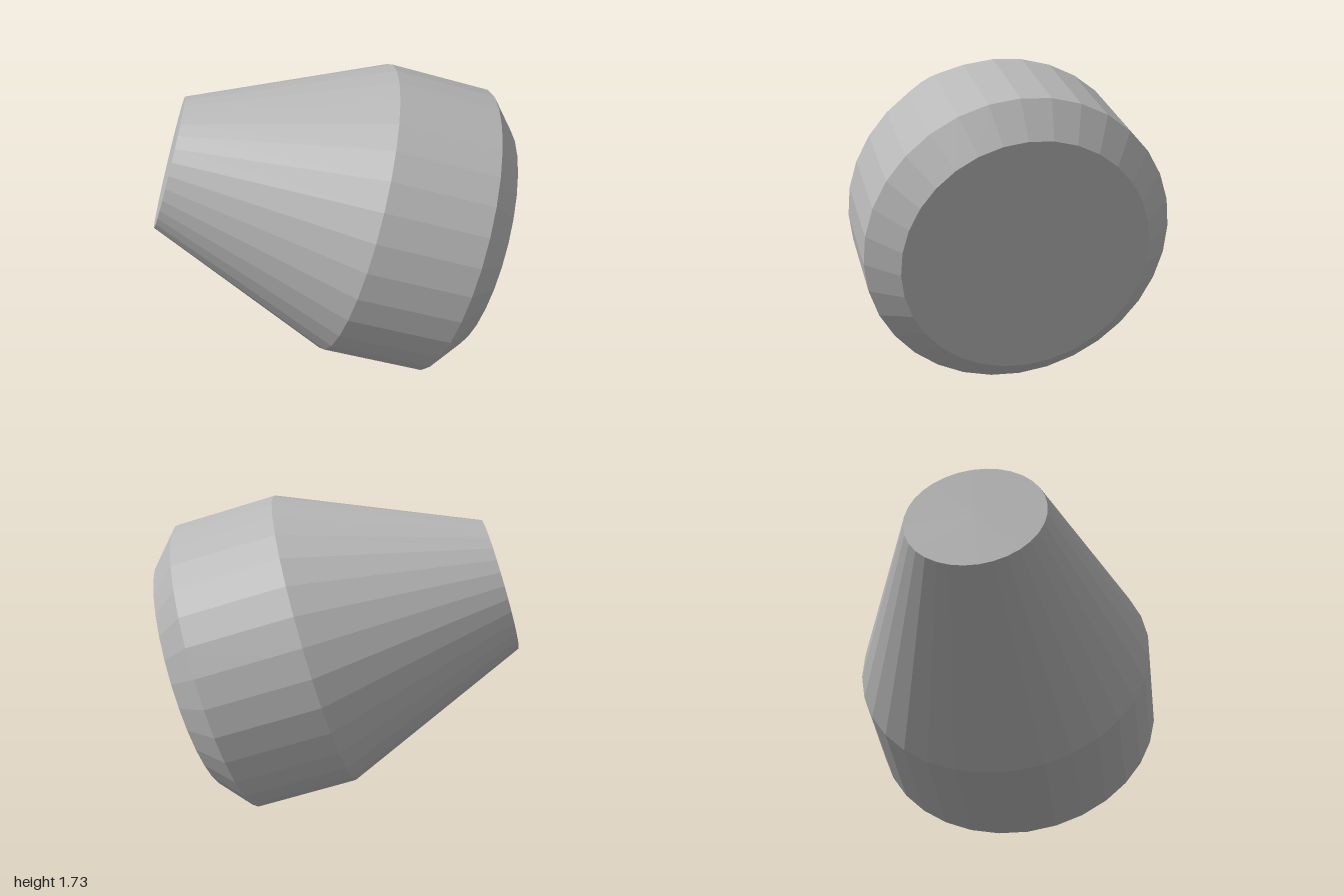
import * as THREE from 'three';

export function createModel() {
  const group = new THREE.Group();
  const grey = new THREE.MeshStandardMaterial({ color: 0xb8b8b8, flatShading: true });
  grey.name = 'plain grey';

  const sides = 32;
  // Axis runs from the broad rear towards the small front disc
  const axis = new THREE.Vector3(-0.616, 0.294, 0.731).normalize();
  const tip = new THREE.Vector3(-0.677, 1.262, 0.743);

  // Radius at each distance behind the small disc
  const rings = [
    { d: 0, r: 0.369 },
    { d: 1.053, r: 0.824 },
    { d: 1.616, r: 0.824 },
    { d: 1.773, r: 0.659 },
  ];
  const names = ['frontCone', 'middleBand', 'rearChamfer'];

  const body = new THREE.Group();
  body.name = 'taperedBody';
  body.position.copy(tip);
  body.quaternion.setFromUnitVectors(new THREE.Vector3(0, 1, 0), axis);
  group.add(body);

  // Side walls, one frustum per section
  names.forEach((name, i) => {
    const a = rings[i], b = rings[i + 1];
    const wall = new THREE.Mesh(
      new THREE.CylinderGeometry(a.r, b.r, b.d - a.d, sides, 1, true), grey);
    wall.name = name;
    wall.position.y = -(a.d + b.d) / 2;
    body.add(wall);
  });

  // End discs
  const addDisc = (name, ring, dir) => {
    const disc = new THREE.Mesh(new THREE.CircleGeometry(ring.r, sides, Math.PI / 2), grey);
    disc.name = name;
    disc.rotation.x = -dir * Math.PI / 2;
    disc.position.y = -ring.d;
    body.add(disc);
  };
  addDisc('frontDisc', rings[0], 1);
  addDisc('rearDisc', rings[3], -1);

  return group;
}
